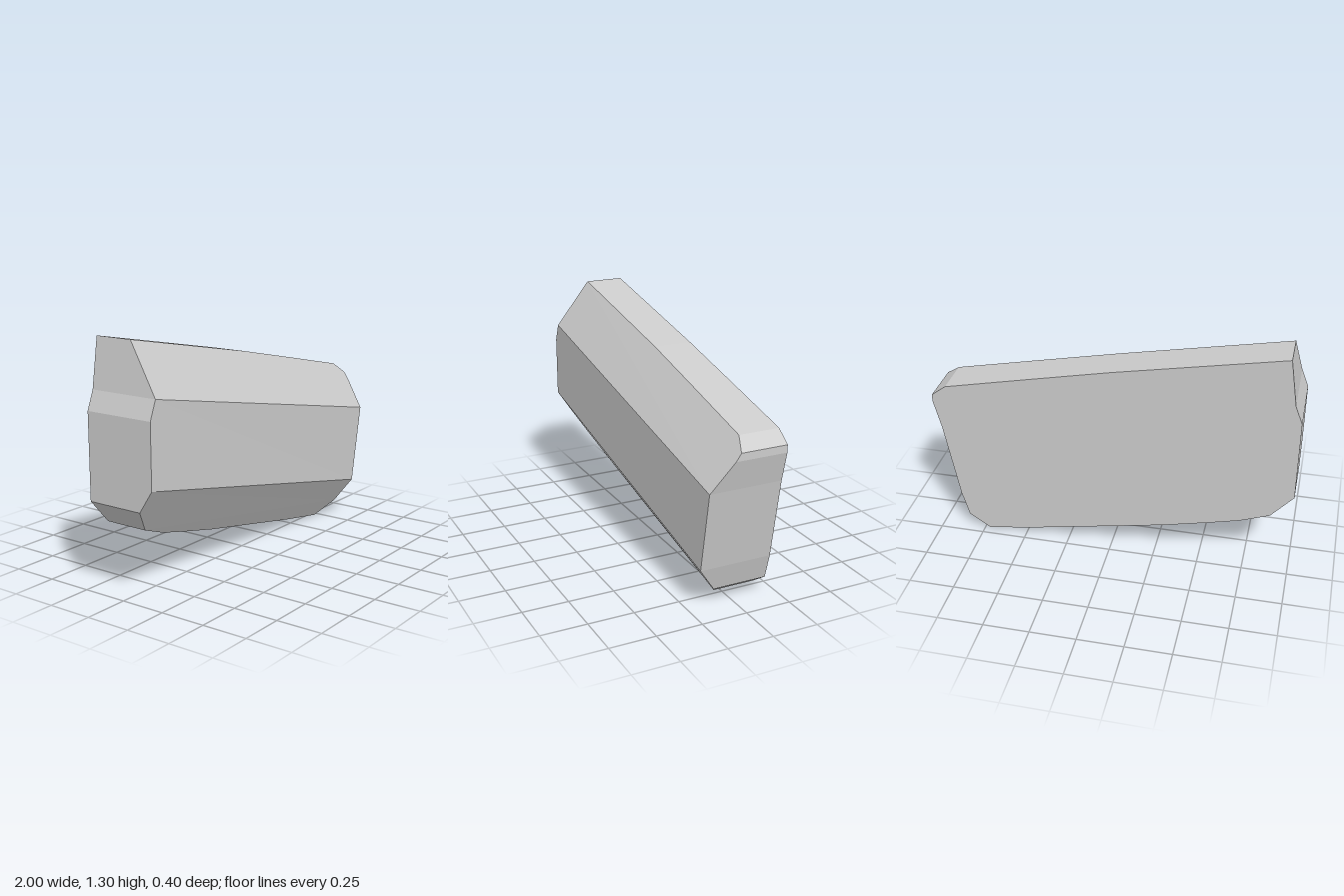
import * as THREE from 'three';

// Outline seen from the front, counter-clockwise, starting at the upper left crease
const outline = [
  [-0.96, 1.04], [-1, 0.94], [-1, 0.6],
  [-1, 0.48], [-0.88, 0.345], [-0.72, 0.285], [-0.56, 0.245], [-0.3, 0.185], [0.44, 0.045], [0.72, 0], [0.84, 0.08],
  [0.88, 0.22], [0.96, 0.66],
  [1, 0.82], [1, 0.86], [0.92, 0.92], [0.44, 1.025], [0, 1.12], [-0.5, 1.218], [-0.92, 1.3],
].map(([x, y]) => new THREE.Vector2(x, y));

const BACK = -0.2, FRONT = 0.2;
const LOWER_LEFT = 2, LOWER_RIGHT = 11, UPPER_RIGHT = 12;

// The front is flat between two slanted creases and bevelled beyond them
function frontZ(p) {
  const s = p.y + 0.2 * p.x;
  return FRONT - 0.695 * Math.max(0, s - 0.852) - 0.664 * Math.max(0, 0.398 - s);
}

function createBodyGeometry() {
  const positions = [];
  const addVertex = (p, z) => positions.push(p.x, p.y, z);

  // Flat cap over a run of outline points
  const addCap = (points, isFront) => {
    for (const face of THREE.ShapeUtils.triangulateShape(points, [])) {
      const order = isFront ? face : [face[0], face[2], face[1]];
      order.forEach((i) => addVertex(points[i], isFront ? frontZ(points[i]) : BACK));
    }
  };

  // Lower bevel, main face, upper bevel, back
  addCap(outline.slice(LOWER_LEFT, LOWER_RIGHT + 1), true);
  addCap([...outline.slice(0, LOWER_LEFT + 1), ...outline.slice(LOWER_RIGHT, UPPER_RIGHT + 1)], true);
  addCap([...outline.slice(UPPER_RIGHT), outline[0]], true);
  addCap(outline.slice(), false);

  // Side walls all the way round
  outline.forEach((a, i) => {
    const b = outline[(i + 1) % outline.length];
    addVertex(a, BACK); addVertex(b, BACK); addVertex(b, frontZ(b));
    addVertex(a, BACK); addVertex(b, frontZ(b)); addVertex(a, frontZ(a));
  });

  const geometry = new THREE.BufferGeometry();
  geometry.setAttribute('position', new THREE.Float32BufferAttribute(positions, 3));
  geometry.computeVertexNormals();
  return geometry;
}

export function createModel() {
  const group = new THREE.Group();
  group.name = 'bevelledSlab';
  const material = new THREE.MeshStandardMaterial({ color: 0xcccccc, flatShading: true });
  const body = new THREE.Mesh(createBodyGeometry(), material);
  body.name = 'slabBody';
  group.add(body);
  return group;
}
